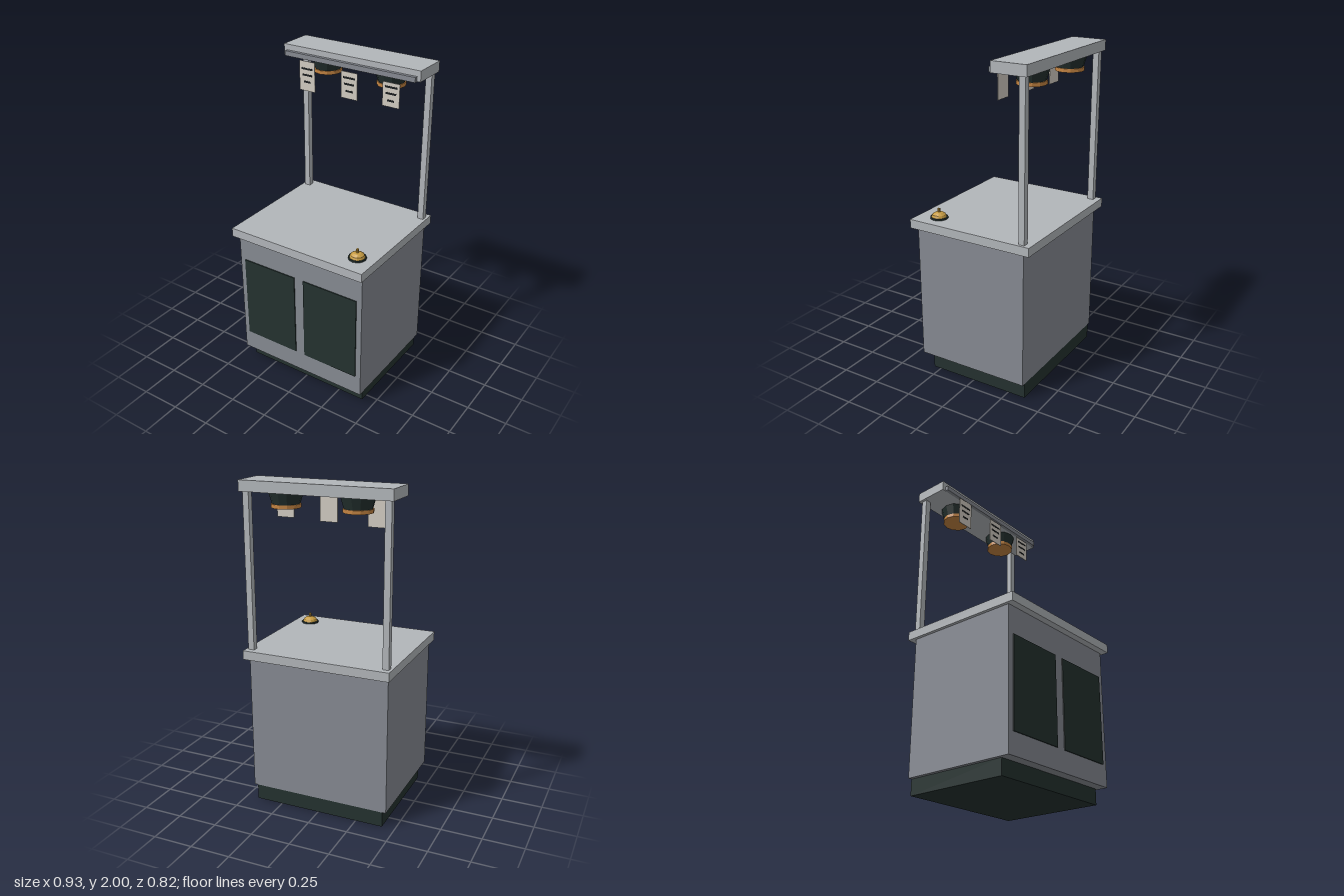
import * as THREE from 'three';

const mat = (name, color) => {
  const m = new THREE.MeshStandardMaterial({ color, flatShading: true });
  m.name = name;
  return m;
};

export function createModel() {
  const steel = mat('light steel', 0xb2b6ba);
  const body = mat('grey steel', 0x868a92);
  const dark = mat('dark green', 0x24312f);
  const copper = mat('copper', 0xc48442);
  const brass = mat('brass', 0xc79c42);
  const paper = mat('paper', 0xd2ccc2);
  const ink = mat('ink', 0x1b1e20);

  const model = new THREE.Group();
  model.name = 'serviceCounter';

  const add = (parent, name, geometry, material, x, y, z) => {
    const mesh = new THREE.Mesh(geometry, material);
    mesh.name = name;
    mesh.position.set(x, y, z);
    parent.add(mesh);
    return mesh;
  };
  // Box given by its limits on each axis
  const box = (parent, name, material, [x0, x1], [y0, y1], [z0, z1]) =>
    add(parent, name, new THREE.BoxGeometry(x1 - x0, y1 - y0, z1 - z0), material,
      (x0 + x1) / 2, (y0 + y1) / 2, (z0 + z1) / 2);

  // Cabinet
  box(model, 'plinth', dark, [-0.42, 0.42], [0, 0.095], [-0.363, 0.3]);
  box(model, 'cabinet', body, [-0.443, 0.443], [0.095, 0.945], [-0.363, 0.365]);
  box(model, 'worktop', steel, [-0.463, 0.463], [0.945, 1], [-0.408, 0.408]);

  // Doors and posts on both sides
  for (const [side, s] of [['left', 1], ['right', -1]]) {
    add(model, side + 'Door', new THREE.BoxGeometry(0.375, 0.55, 0.009), dark, s * 0.22, 0.5, 0.3665);
    add(model, side + 'Post', new THREE.BoxGeometry(0.038, 0.937, 0.038), steel, s * 0.428, 1.4675, -0.351);
  }

  // Overhead shelf and ticket rail
  box(model, 'overheadShelf', steel, [-0.463, 0.463], [1.936, 2], [-0.387, -0.167]);
  box(model, 'ticketRail', body, [-0.441, 0.441], [1.935, 1.965], [-0.167, -0.145]);

  // Heat lamps
  for (const x of [-0.22, 0.22]) {
    const lamp = new THREE.Group();
    lamp.name = 'heatLamp';
    lamp.position.set(x, 0, -0.277);
    model.add(lamp);
    add(lamp, 'lampShade', new THREE.CylinderGeometry(0.1, 0.08, 0.068, 12), dark, 0, 1.902, 0);
    add(lamp, 'lampRim', new THREE.CylinderGeometry(0.086, 0.086, 0.022, 12), copper, 0, 1.858, 0);
  }

  // Order tickets with printed lines
  for (const [x, height] of [[-0.278, 0.182], [0.018, 0.161], [0.296, 0.143]]) {
    const ticket = new THREE.Group();
    ticket.name = 'ticket';
    ticket.position.set(x, 1.837, -0.142);
    model.add(ticket);
    add(ticket, 'ticketPaper', new THREE.BoxGeometry(0.11, height, 0.004), paper, 0, 0, 0);
    [[0.045, 0.08], [0.007, 0.068], [-0.035, 0.046]].forEach(([y, width]) =>
      add(ticket, 'printedLine', new THREE.BoxGeometry(width, 0.011, 0.002), ink, 0, y, 0.0025));
  }

  // Service bell
  const bell = new THREE.Group();
  bell.name = 'bell';
  bell.position.set(0.352, 1, 0.275);
  model.add(bell);
  add(bell, 'bellBase', new THREE.CylinderGeometry(0.054, 0.054, 0.01, 12), dark, 0, 0.005, 0);
  const dome = new THREE.SphereGeometry(0.047, 12, 3, 0, Math.PI * 2, 0, Math.PI / 2);
  dome.scale(1, 0.66, 1);
  add(bell, 'bellDome', dome, brass, 0, 0.009, 0);
  add(bell, 'bellButton', new THREE.CylinderGeometry(0.008, 0.008, 0.024, 8), brass, 0, 0.049, 0);

  return model;
}
